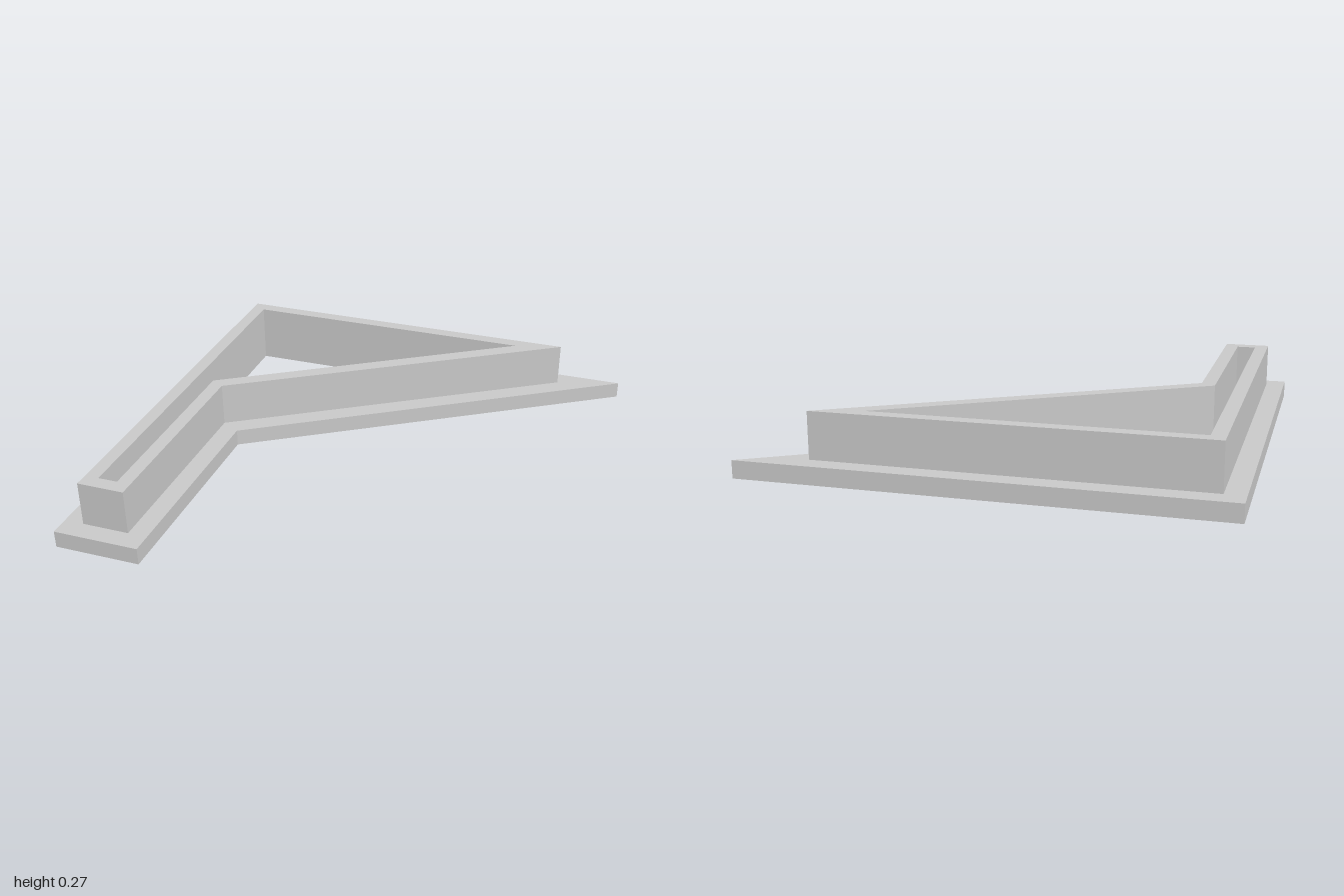
import * as THREE from 'three';

// Plan outlines as [x, z] corners; the opening runs the opposite way round
const flangeOutline = [[-0.995, -1], [0.995, -1], [-0.62, 0.03], [-0.62, 1], [-0.995, 1]];
const wallOutline = [[-0.91, -0.914], [0.705, -0.914], [-0.705, -0.018], [-0.705, 0.914], [-0.91, 0.914]];
const openingOutline = [[-0.85, 0.852], [-0.765, 0.852], [-0.765, -0.053], [0.49, -0.856], [-0.85, -0.856]];

const toPoints = (outline) => outline.map(([x, z]) => new THREE.Vector2(x, -z));

// Upright ring between an outline and the shared opening
function ring(name, outline, bottom, top, material) {
  const shape = new THREE.Shape(toPoints(outline));
  shape.holes.push(new THREE.Path(toPoints(openingOutline)));
  const geometry = new THREE.ExtrudeGeometry(shape, { depth: top - bottom, bevelEnabled: false });
  geometry.rotateX(-Math.PI / 2);
  geometry.translate(0, bottom, 0);
  const mesh = new THREE.Mesh(geometry, material);
  mesh.name = name;
  return mesh;
}

export function createModel() {
  const group = new THREE.Group();
  group.name = 'flangedFrame';
  const grey = new THREE.MeshStandardMaterial({ color: 0xc8c8c8 });
  grey.name = 'grey';

  // Wide base flange with the narrower wall standing on it
  group.add(ring('baseFlange', flangeOutline, 0, 0.075, grey));
  group.add(ring('raisedWall', wallOutline, 0.075, 0.272, grey));
  return group;
}
